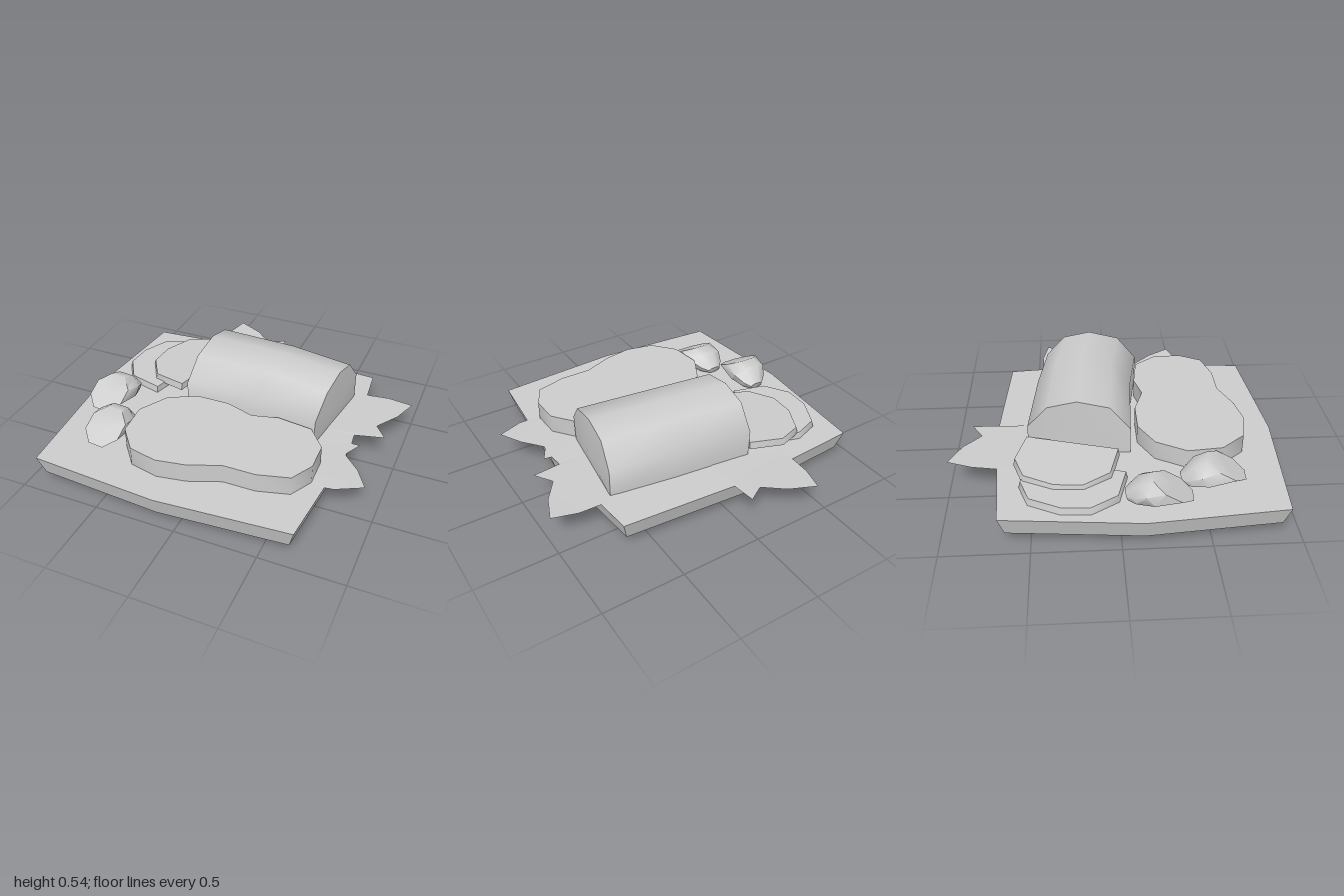
import * as THREE from 'three';
import { toCreasedNormals } from 'three/addons/utils/BufferGeometryUtils.js';

const grey = new THREE.MeshStandardMaterial({ color: 0xcccccc });
const thin = new THREE.MeshStandardMaterial({ color: 0xcccccc, side: THREE.DoubleSide });

const mean = ring => [0, 1, 2].map(k => ring.reduce((s, p) => s + p[k], 0) / ring.length);

// Closed solid through equal-length rings of points, with a fan cap at each end
function loft(name, rings, capA = mean(rings[0]), capB = mean(rings[rings.length - 1]), crease = 0.9) {
  const tris = [], n = rings[0].length, last = rings[rings.length - 1];
  for (let i = 0; i < n; i++) {
    const j = (i + 1) % n;
    for (let r = 0; r < rings.length - 1; r++) {
      const a = rings[r], b = rings[r + 1];
      tris.push([a[i], a[j], b[j]], [a[i], b[j], b[i]]);
    }
    tris.push([capA, rings[0][j], rings[0][i]], [capB, last[i], last[j]]);
  }
  // Turn every face outward, judged by the signed volume
  const v = p => new THREE.Vector3(...p);
  const volume = tris.reduce((s, [a, b, c]) => s + v(a).dot(v(b).cross(v(c))), 0);
  if (volume < 0) tris.forEach(t => t.reverse());
  const geo = new THREE.BufferGeometry();
  geo.setAttribute('position', new THREE.Float32BufferAttribute(tris.flat(2), 3));
  const mesh = new THREE.Mesh(toCreasedNormals(geo, crease), grey);
  mesh.name = name;
  return mesh;
}

// Plan outline [x, z] lifted to a height, or to a height rule of (x, z)
const lift = (outline, y) => outline.map(([x, z]) => [x, typeof y === 'function' ? y(x, z) : y, z]);
const scaled = (outline, s, cx, cz) => outline.map(([x, z]) => [cx + (x - cx) * s, cz + (z - cz) * s]);

// Square board with bowed sides and a shallow pointed underside
function board() {
  const cx = -0.125, cz = 0.13;
  const rim = [[-0.93, -0.675], [-1, 0.13], [-0.93, 0.935], [-0.125, 0.99],
    [0.68, 0.935], [0.75, 0.13], [0.68, -0.675], [-0.125, -0.73]];
  return loft('board', [lift(scaled(rim, 0.96, cx, cz), 0.06), lift(rim, 0.18)], [cx, 0, cz], [cx, 0.18, cz], 0.25);
}

// Flat steak with a wavy outline
function steak() {
  const o = [[-0.52, 0.41], [-0.42, 0.23], [-0.25, 0.14], [-0.04, 0.14], [0.14, 0.2], [0.3, 0.16],
    [0.52, 0.19], [0.63, 0.33], [0.635, 0.51], [0.56, 0.65], [0.37, 0.7], [0.17, 0.7],
    [-0.02, 0.775], [-0.2, 0.805], [-0.38, 0.765], [-0.5, 0.62]];
  return loft('steak', [lift(o, 0.175), lift(o, 0.3)]);
}

// Loaf: an arched section carried along a slightly swollen, slightly turned axis
function loaf() {
  const arch = [[0.3, 0.175], [0.3, 0.35], [0.18, 0.488], [-0.01, 0.528], [-0.18, 0.488], [-0.3, 0.35], [-0.3, 0.175]];
  const section = (xs, cz, s, dy) => arch.map(([z, y], i) => [xs[i], y + (y > 0.2 ? dy : 0), cz + z * s]);
  const left = [-0.35, -0.345, -0.325, -0.31, -0.3, -0.285, -0.28];
  const right = [0.535, 0.54, 0.565, 0.585, 0.6, 0.62, 0.62];
  const mid = left.map((x, i) => (x + right[i]) / 2 + 0.05);
  return loft('loaf', [section(left, -0.217, 1.025, -0.003), section(mid, -0.175, 0.99, 0.012),
    section(right, -0.115, 1, 0)], undefined, [0.6, 0.3, -0.11]);
}

// Rounded slices with one cut edge; the upper one leans on the loaf
function slice(dx, dz, height) {
  const o = [[-0.28, -0.54], [-0.49, -0.605], [-0.65, -0.55], [-0.74, -0.37], [-0.75, -0.2], [-0.65, -0.04], [-0.43, 0.02]]
    .map(([x, z]) => [x + dx, z + dz]);
  const inner = scaled(o, 0.97, -0.4 + dx, -0.28 + dz);
  return loft('slice', [lift(o, height), lift(inner, (x, z) => height(x, z) + 0.045)]);
}

// Sausage half: slanted cut face at the front, narrowing to a rounded rear tip
function sausage(cx, cz, tipX) {
  const ring = (x, z, y, rx, ry, slant) => Array.from({ length: 8 }, (_, i) => {
    const a = (i + 0.4) * Math.PI / 4;
    return [x + rx * Math.cos(a), y + ry * Math.sin(a), z - slant * Math.sin(a)];
  });
  return loft('sausage', [ring(cx, cz, 0.275, 0.125, 0.068, 0.122),
    ring(cx * 0.55 + tipX * 0.45, cz - 0.13, 0.247, 0.13, 0.07, 0.06),
    ring(cx * 0.2 + tipX * 0.8, cz - 0.215, 0.222, 0.09, 0.045, 0.02),
    ring(tipX, cz - 0.255, 0.21, 0.05, 0.025, 0.01)]);
}

// Ragged leaf, tucked into the board and rising gently outside it
function leaf(outline, height) {
  const shape = new THREE.Shape(outline.map(([x, z]) => new THREE.Vector2(x, -z)));
  const geo = new THREE.ShapeGeometry(shape).rotateX(-Math.PI / 2);
  const p = geo.attributes.position;
  for (let i = 0; i < p.count; i++) p.setY(i, height(p.getX(i), p.getZ(i)));
  geo.computeVertexNormals();
  const mesh = new THREE.Mesh(geo, thin);
  mesh.name = 'leaf';
  return mesh;
}

export function createModel() {
  const group = new THREE.Group();
  group.name = 'foodBoard';
  const sideRise = x => 0.182 + Math.max(0, x - 0.7) * 0.06;
  const backRise = (x, z) => 0.182 + Math.max(0, -z - 0.68) * 0.06;
  group.add(
    board(), steak(), loaf(),
    slice(0, 0, x => 0.205 + (x + 0.75) * 0.05),
    slice(-0.165, 0.035, () => 0.177),
    sausage(-0.81, 0.29, -0.78), sausage(-0.64, 0.615, -0.655),
    leaf([[-0.47, -0.6], [-0.48, -0.7], [-0.465, -0.85], [-0.42, -1], [-0.26, -0.925],
      [-0.14, -0.82], [-0.035, -0.885], [-0.025, -0.71], [-0.03, -0.45]], backRise),
    leaf([[0.5, -0.4], [0.7, -0.455], [0.84, -0.46], [1, -0.425], [0.94, -0.27],
      [0.845, -0.135], [0.92, -0.03], [0.74, 0], [0.5, 0]], sideRise),
    leaf([[0.5, 0.2], [0.74, 0.085], [0.8, 0.09], [0.74, 0.2], [0.85, 0.32],
      [0.93, 0.455], [0.77, 0.525], [0.7, 0.53], [0.5, 0.45]], sideRise));
  return group;
}
